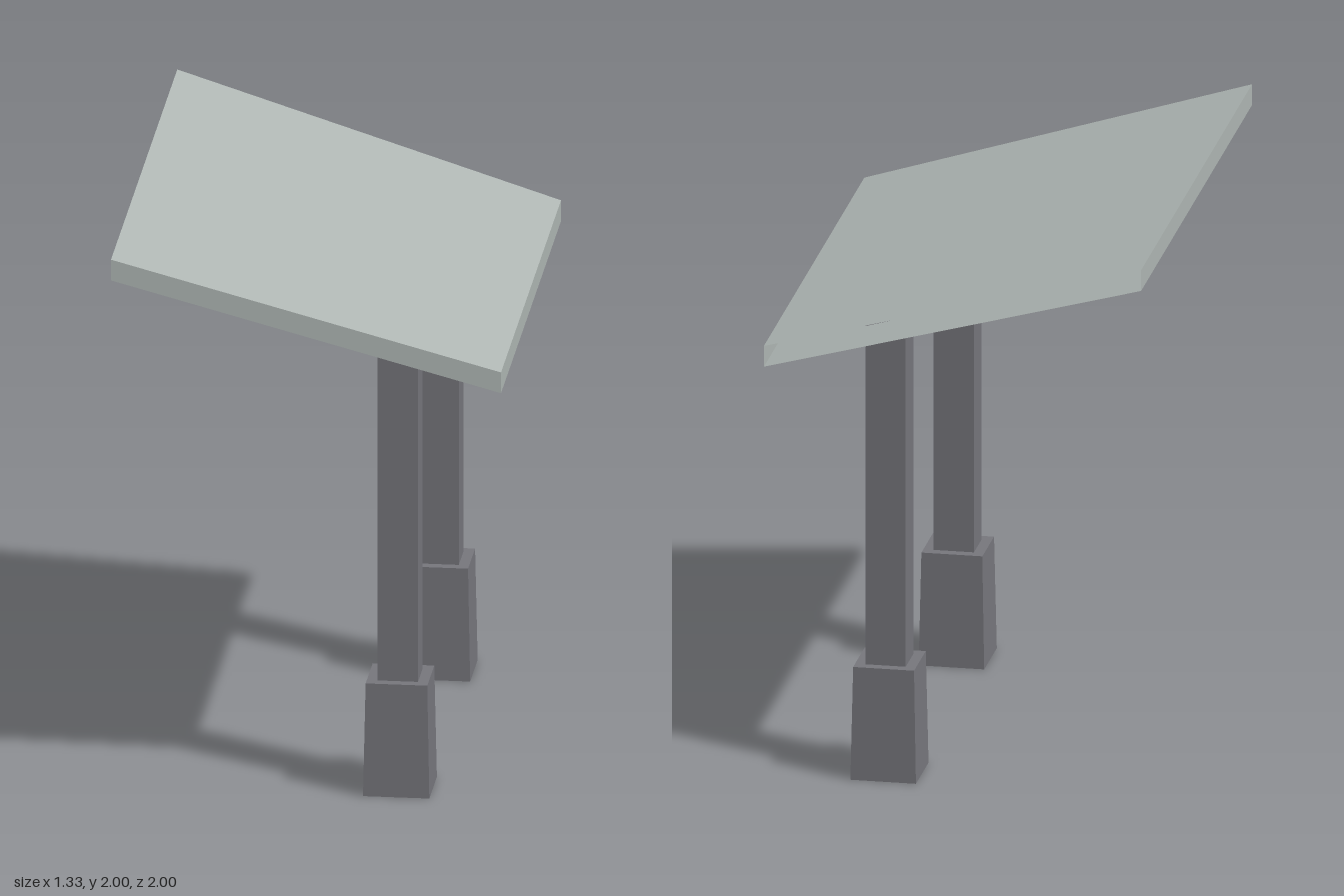
import * as THREE from 'three';

const grey = new THREE.MeshStandardMaterial({ color: 0x77777d, flatShading: true });
const pale = new THREE.MeshStandardMaterial({ color: 0xb0b8b5, flatShading: true, side: THREE.DoubleSide });

const POST_X = 0.285, POST_HALF = 0.07, FOOT_TOP = 0.405, RECESS = 0.04;
const ROOF = { highX: -0.665, lowX: 0.665, highY: 2, lowY: 1.61, thick: 0.075 };
const slope = (ROOF.lowY - ROOF.highY) / (ROOF.lowX - ROOF.highX);
const undersideY = (x) => ROOF.highY - ROOF.thick + slope * (x - ROOF.highX);

function named(geometry, material, name) {
  const mesh = new THREE.Mesh(geometry, material);
  mesh.name = name;
  return mesh;
}

// Sloping tapered slab: wider at the high edge, open along its back side
function roofGeometry() {
  const { highX, lowX, highY, lowY, thick } = ROOF;
  const top = [[highX, highY, 1], [lowX, lowY, 0.9], [lowX, lowY, -0.91], [highX, highY, -1]];
  const low = top.map(([x, y, z]) => [x, y - thick, z]);
  const quads = [top, [...low].reverse()];
  for (const i of [0, 1, 3]) {
    const j = (i + 1) % 4;
    quads.push([low[i], low[j], top[j], top[i]]);
  }
  const points = quads.flatMap(([a, b, c, d]) => [a, b, c, a, c, d]).flat();
  const geometry = new THREE.BufferGeometry();
  geometry.setAttribute('position', new THREE.Float32BufferAttribute(points, 3));
  geometry.computeVertexNormals();
  return geometry;
}

// Square post whose top is cut to meet the slab
function postGeometry() {
  const geometry = new THREE.BoxGeometry(POST_HALF * 2, 1, POST_HALF * 2);
  const p = geometry.attributes.position;
  for (let i = 0; i < p.count; i++) {
    p.setY(i, p.getY(i) > 0 ? undersideY(POST_X + p.getX(i)) : RECESS);
  }
  geometry.computeVertexNormals();
  return geometry;
}

// Tapered square sleeve around the foot of the post, open underneath
function footGeometry() {
  const profile = [
    [POST_HALF, RECESS], [POST_HALF, 0], [0.114, 0], [0.106, FOOT_TOP], [POST_HALF, FOOT_TOP],
  ].map(([half, y]) => new THREE.Vector2(half * Math.SQRT2, y));
  const geometry = new THREE.LatheGeometry(profile, 4, Math.PI / 4).toNonIndexed();
  geometry.computeVertexNormals();
  return geometry;
}

export function createModel() {
  const model = new THREE.Group();
  model.name = 'shelter';
  model.add(named(roofGeometry(), pale, 'roofSlab'));

  const post = postGeometry();
  const foot = footGeometry();
  for (const [side, z] of [['front', 0.615], ['back', -0.615]]) {
    const column = new THREE.Group();
    column.name = side + 'Column';
    column.position.set(POST_X, 0, z);
    column.add(named(post, grey, side + 'Post'), named(foot, grey, side + 'Foot'));
    model.add(column);
  }
  return model;
}
